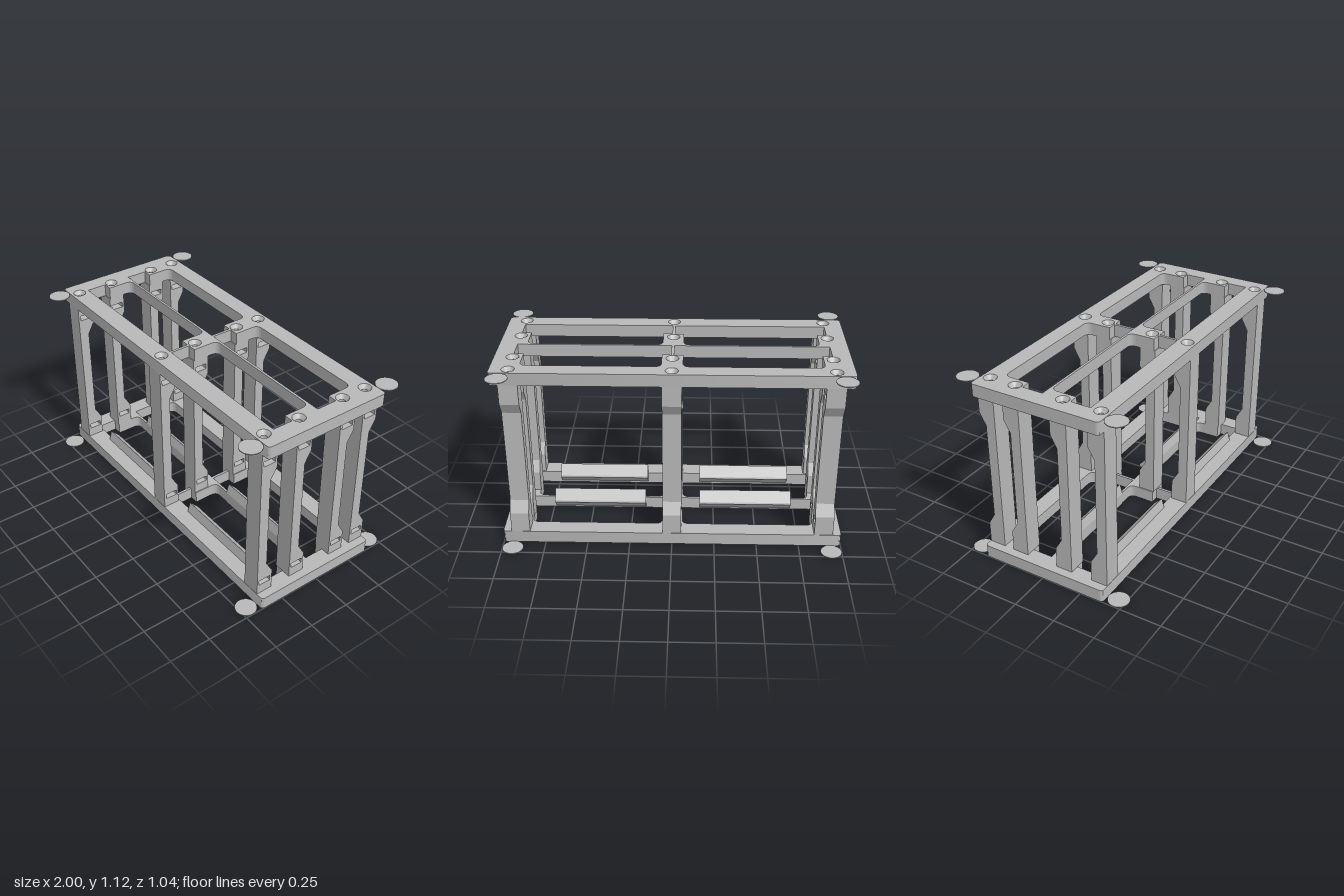
import * as THREE from 'three';
import { mergeGeometries, toCreasedNormals } from 'three/addons/utils/BufferGeometryUtils.js';

const HEIGHT = 1.115, PLATE = 0.075;
const POST_X = [-0.895, 0, 0.895];
const POST_Z = [0.341, 0.114, -0.181, -0.341];
const HALF = 0.055;                       // half the post width

const poly = (pts) => new THREE.Shape(pts.map(([x, y]) => new THREE.Vector2(x, y)));

// Plan shape drawn in (x, z), standing from y = 0 up to h
function standUp(shape, h) {
  const g = new THREE.ExtrudeGeometry(shape, { depth: h, bevelEnabled: false, curveSegments: 12 });
  return g.rotateX(Math.PI / 2).translate(0, h, 0);
}

// Side profile drawn in (-z, y), running along x from x0 for a length w
function runAlongX(shape, x0, w) {
  const g = new THREE.ExtrudeGeometry(shape, { depth: w, bevelEnabled: false });
  return g.rotateY(Math.PI / 2).translate(x0, 0, 0);
}

// Stepped window: narrow with round corners at the back, wider in front
function windowHole(side, z0, zStep, z1) {
  const r = 0.04, p = new THREE.Path();
  const X = (x) => side * x;
  p.moveTo(X(0.06), zStep);
  p.lineTo(X(0.06), z0 + r);
  p.quadraticCurveTo(X(0.06), z0, X(0.06 + r), z0);
  p.lineTo(X(0.84 - r), z0);
  p.quadraticCurveTo(X(0.84), z0, X(0.84), z0 + r);
  p.lineTo(X(0.84), zStep);
  p.lineTo(X(0.895), zStep);
  p.lineTo(X(0.895), z1);
  p.lineTo(X(0.008), z1);
  p.lineTo(X(0.008), zStep);
  p.closePath();
  return p;
}

function plateGeometry() {
  const a = 1, b = 0.393, r = 0.02, s = new THREE.Shape();
  s.moveTo(-a + r, -b);
  s.lineTo(a - r, -b);
  s.absarc(a - r, -b + r, r, -Math.PI / 2, 0);
  s.lineTo(a, b - r);
  s.absarc(a - r, b - r, r, 0, Math.PI / 2);
  s.lineTo(-a + r, b);
  s.absarc(-a + r, b - r, r, Math.PI / 2, Math.PI);
  s.lineTo(-a, -b + r);
  s.absarc(-a + r, -b + r, r, Math.PI, Math.PI * 1.5);
  for (const side of [-1, 1]) {
    s.holes.push(windowHole(side, -0.29, -0.135, -0.01));
    s.holes.push(windowHole(side, 0.004, 0.16, 0.28));
  }
  for (const x of POST_X) for (const z of POST_Z) {
    s.holes.push(new THREE.Path().absarc(x, z, 0.037, 0, Math.PI * 2));
  }
  return toCreasedNormals(standUp(s, PLATE), 0.6);
}

// Post, flat in front and slimmer in the middle, with nut pockets open towards +x
function postGeometry() {
  const y0 = PLATE, y1 = HEIGHT - PLATE, d = 0.05, back = 0.012;
  const outline = () => poly([
    [-d, y0], [d, y0], [d, 0.2], [0.01, 0.27], [0.01, 0.85], [d, 0.92], [d, y1], [-d, y1],
  ]);
  const w = 0.037, h = 0.016, pockets = [0.15, HEIGHT - 0.142];
  const pierced = outline();
  const parts = [runAlongX(outline(), -HALF, back)];
  for (const y of pockets) {
    pierced.holes.push(poly([[-w, y - h], [w, y - h], [w, y + h], [-w, y + h]]));
    // corner fillers give the pocket its pointed hexagonal end
    const x = -HALF + back;
    for (const s of [-1, 1]) {
      const corner = poly([[x, 0], [x, s * w], [x + 0.021, s * w]]);
      parts.push(standUp(corner, 2 * h).translate(0, y - h, 0));
    }
  }
  parts.push(runAlongX(pierced, -HALF + back, 2 * HALF - back));
  return mergeGeometries(parts);
}

export function createModel() {
  const model = new THREE.Group();
  const grey = new THREE.MeshStandardMaterial({ color: 0xb8b8b8 });
  grey.name = 'grey plastic';
  const lining = new THREE.MeshStandardMaterial({ color: 0xb8b8b8, side: THREE.DoubleSide });
  lining.name = 'grey hole lining';

  function add(name, geometry, x = 0, y = 0, z = 0, material = grey, parent = model) {
    const m = new THREE.Mesh(geometry, material);
    m.name = name;
    m.position.set(x, y, z);
    parent.add(m);
    return m;
  }

  // Top and bottom frames
  const plate = plateGeometry();
  add('bottomFrame', plate);
  add('topFrame', plate, 0, HEIGHT - PLATE, 0);

  // Countersunk screw holes, opening on the outer faces
  const sink = new THREE.LatheGeometry(
    [[0.02, 0], [0.02, 0.05], [0.037, PLATE]].map(([x, y]) => new THREE.Vector2(x, y)), 24);
  const sinkGeometry = toCreasedNormals(sink, 0.5);

  // Posts with a screw hole at each end
  const post = postGeometry();
  for (const x of POST_X) for (const z of POST_Z) {
    add('post', post, x, 0, z);
    add('topScrewHole', sinkGeometry, x, HEIGHT - PLATE, z, lining);
    add('bottomScrewHole', sinkGeometry, x, PLATE, z, lining).rotation.x = Math.PI;
  }

  // Sloped support ledges on the bottom frame
  const ledge = runAlongX(poly([[-0.01, 0], [0, 0], [0.067, 0.07], [0.062, 0.08], [0.007, 0.135], [-0.01, PLATE]]), -0.28, 0.565);
  for (const x of [-0.45, 0.45]) for (const z of [-0.002, 0.292]) {
    add('supportLedge', ledge, x, 0, z);
  }

  // Thin round corner tabs
  const tab = new THREE.CylinderGeometry(0.062, 0.062, 0.005, 32);
  for (const x of [-0.938, 0.938]) for (const z of [-0.457, 0.457]) {
    add('bottomTab', tab, x, 0.0025, z);
    add('topTab', tab, x, HEIGHT - 0.0025, z);
  }
  return model;
}
